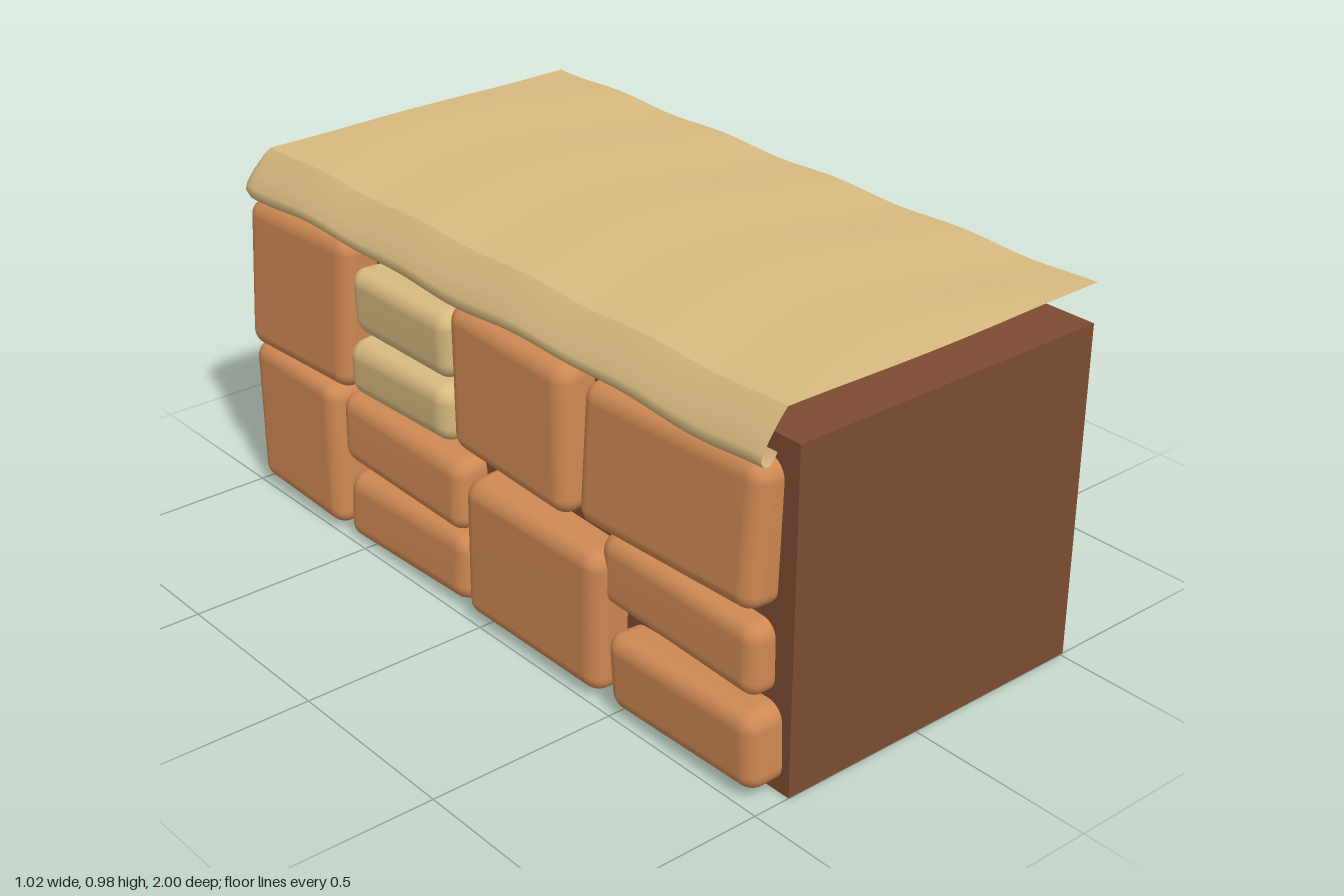
import * as THREE from 'three';
import { mergeVertices } from 'three/addons/utils/BufferGeometryUtils.js';
import { RoundedBoxGeometry } from 'three/addons/geometries/RoundedBoxGeometry.js';

const brown = new THREE.MeshStandardMaterial({ color: 0x7d4c31 });
brown.name = 'earth brown';
const clay = new THREE.MeshStandardMaterial({ color: 0xce8853 });
clay.name = 'clay stone';
const sand = new THREE.MeshStandardMaterial({ color: 0xd8ba80, side: THREE.DoubleSide });
sand.name = 'sand';

function addMesh(parent, name, geometry, material) {
  const mesh = new THREE.Mesh(geometry, material);
  mesh.name = name;
  parent.add(mesh);
}

// Worn block filling the given bounds, gently skewed and rippled
function stoneGeometry(x0, x1, y0, y1, z0, z1, seed) {
  const size = [x1 - x0, y1 - y0, z1 - z0];
  let g = new RoundedBoxGeometry(...size, 4, Math.min(0.045, Math.min(...size) * 0.4));
  g.deleteAttribute('normal');
  g.deleteAttribute('uv');
  g = mergeVertices(g, 1e-4);
  const p = g.attributes.position;
  for (let i = 0; i < p.count; i++) {
    const x = p.getX(i), y = p.getY(i), z = p.getZ(i);
    const along = x + z;
    p.setXYZ(i,
      x + (x0 + x1) / 2 + 0.006 * Math.sin(y * 9 + seed),
      y + (y0 + y1) / 2 + 0.009 * Math.sin(along * 8 + seed * 2),
      z + (z0 + z1) / 2 + 0.006 * Math.sin(y * 8 + seed * 3));
  }
  g.computeVertexNormals();
  return g;
}

// Surface from rows of points
function gridGeometry(rows) {
  const n = rows[0].length, index = [];
  for (let j = 0; j < rows.length - 1; j++) {
    for (let i = 0; i < n - 1; i++) {
      const a = j * n + i, b = a + n;
      index.push(a, b, a + 1, a + 1, b, b + 1);
    }
  }
  const g = new THREE.BufferGeometry().setFromPoints(rows.flat());
  g.setIndex(index);
  g.computeVertexNormals();
  return g;
}

const ripple = (x, z) => 0.977 + 0.004 * Math.sin(z * 15 + Math.cos(x * 5) * 1.2);

// Wavy top sheet
function topGeometry() {
  const rows = [];
  for (let j = 0; j <= 70; j++) {
    const z = -0.93 + 1.93 * j / 70, row = [];
    for (let i = 0; i <= 20; i++) {
      const x = -0.44 + 0.95 * i / 20;
      row.push(new THREE.Vector3(x, ripple(x, z), z));
    }
    rows.push(row);
  }
  return gridGeometry(rows);
}

// Hooked lip swept along the side, round the corner and across the back
function lipGeometry() {
  // [inset from outline, drop from the top]
  const profile = [[0.07, 0], [0.05, 0.022], [0.022, 0.06], [0.004, 0.09],
    [0, 0.105], [0.008, 0.12], [0.022, 0.122], [0.035, 0.112], [0.045, 0.095]];
  const path = [];
  for (let i = 0; i <= 70; i++) path.push([-0.44, 1 - 1.93 * i / 70, -1, 0]);
  for (let i = 1; i < 8; i++) {
    const a = i / 8 * Math.PI / 2;
    path.push([-0.44, -0.93, -Math.cos(a), -Math.sin(a)]);
  }
  for (let i = 0; i <= 60; i++) path.push([-0.44 + 0.95 * i / 60, -0.93, 0, -1]);
  return gridGeometry(path.map(([x, z, dx, dz]) => {
    // Drips hang from the back lip near the corner
    let drip = 0;
    if (dz < -0.9) for (const c of [-0.19, -0.31, -0.42]) drip += 0.05 * Math.exp(-(((x - c) / 0.03) ** 2));
    const wave = 0.006 * Math.sin(z * 7 + x * 9);
    return profile.map(([inset, drop]) => {
      const out = 0.07 - inset, k = drop / 0.122;
      return new THREE.Vector3(x + dx * out, ripple(x, z) - drop - (drip + wave) * k * k, z + dz * out);
    });
  }));
}

export function createModel() {
  const model = new THREE.Group();
  model.name = 'stoneBlock';

  // Solid core
  const core = new THREE.BoxGeometry(0.91, 0.88, 1.89);
  core.translate(0.055, 0.44, 0.055);
  addMesh(model, 'core', core, brown);

  // Side stones: outer x, y range, z range, material
  const side = [
    [-0.505, 0.43, 0.845, -0.985, -0.53, clay],
    [-0.505, 0.015, 0.42, -0.99, -0.61, clay],
    [-0.5, 0.62, 0.8, -0.52, -0.11, sand],
    [-0.505, 0.45, 0.605, -0.52, -0.1, sand],
    [-0.5, 0.455, 0.835, -0.1, 0.34, clay],
    [-0.48, 0.46, 0.82, 0.36, 0.95, clay],
    [-0.47, 0.25, 0.435, 0.42, 0.95, clay],
    [-0.495, 0.015, 0.22, 0.47, 0.97, clay],
    [-0.5, 0.015, 0.4, -0.06, 0.45, clay],
    [-0.485, 0.215, 0.41, -0.6, -0.08, clay],
    [-0.49, 0.01, 0.195, -0.6, -0.08, clay],
  ];
  side.forEach(([x, y0, y1, z0, z1, material], i) =>
    addMesh(model, 'sideStone', stoneGeometry(x, -0.36, y0, y1, z0, z1, i * 1.3), material));

  // Back stones: x range, y range, outer z
  const back = [
    [0.16, 0.505, 0.475, 0.84, -0.975],
    [0.15, 0.505, 0.28, 0.435, -0.975],
    [0.15, 0.505, 0.012, 0.26, -0.985],
    [-0.465, 0.14, 0.445, 0.84, -0.985],
    [-0.465, 0.14, 0.015, 0.425, -0.99],
  ];
  back.forEach(([x0, x1, y0, y1, z], i) =>
    addMesh(model, 'backStone', stoneGeometry(x0, x1, y0, y1, z, -0.85, i * 1.7 + 0.5), clay));

  // Sand cover
  const cover = new THREE.Group();
  cover.name = 'sandCover';
  addMesh(cover, 'coverTop', topGeometry(), sand);
  addMesh(cover, 'coverLip', lipGeometry(), sand);
  model.add(cover);
  return model;
}
